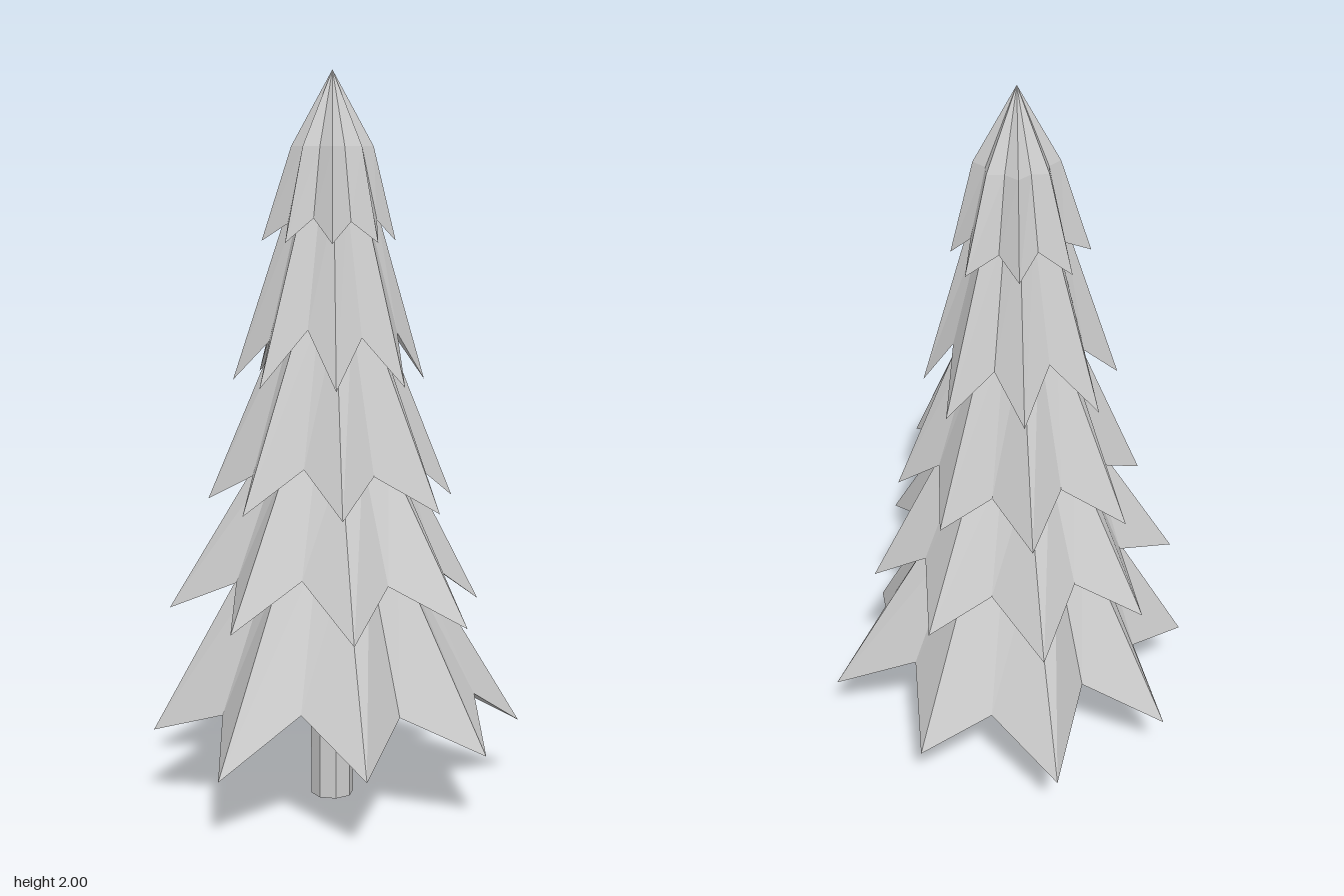
import * as THREE from 'three';

const POINTS = 8;
const AXIS_X = 0.01;

// How far each notch sits above its tier's mean, starting beside +x and turning towards +z
const NOTCH_LIFT = [0.025, 0.005, 0, 0.03, -0.025, -0.025, 0.005, -0.015];

// One ring of 16 corners: even corners are branch tips, odd ones the notches between them
function ring(turn, tipR, tipY, notchR, notchY, lift = 0) {
  const pick = (v, k) => (Array.isArray(v) ? v[k] : v);
  return Array.from({ length: POINTS * 2 }, (_, i) => {
    const k = i >> 1, tip = i % 2 === 0;
    const a = (i * Math.PI) / POINTS + turn;
    const r = pick(tip ? tipR : notchR, k);
    const y = tip ? pick(tipY, k) : notchY + lift * NOTCH_LIFT[k];
    return new THREE.Vector3(Math.cos(a) * r, y, Math.sin(a) * r);
  });
}

// Join rings from top to bottom with separate flat faces
function loft(rings) {
  const pos = [];
  const tri = (a, b, c) => {
    const area = b.clone().sub(a).cross(c.clone().sub(a)).length();
    if (area > 1e-8) for (const p of [a, b, c]) pos.push(p.x, p.y, p.z);
  };
  for (let j = 0; j + 1 < rings.length; j++) {
    const A = rings[j], B = rings[j + 1];
    for (let i = 0; i < A.length; i++) {
      const n = (i + 1) % A.length;
      tri(B[n], B[i], A[i]);
      tri(B[n], A[i], A[n]);
    }
  }
  const geo = new THREE.BufferGeometry();
  geo.setAttribute('position', new THREE.Float32BufferAttribute(pos, 3));
  geo.computeVertexNormals();
  return geo;
}

// Tiers from the bottom up; tip lists start at +x and turn towards +z.
// top: [height, ridge radius, valley radius]; recess: [height, radius] underneath
const TIERS = [
  { turn: 0, tipY: [0.185, 0.18, 0.205, 0.215, 0.18, 0.21, 0.175, 0.19], notchY: 0.31, lift: 1,
    tipR: [0.49, 0.54, 0.5, 0.52, 0.51, 0.5, 0.5, 0.54],
    notchR: [0.35, 0.4, 0.335, 0.365, 0.35, 0.345, 0.325, 0.38],
    top: [0.72, 0.215, 0.185], recess: [0.38, 0.23] },
  { turn: 0.045, tipY: 0.55, notchY: 0.66, lift: 0.7,
    tipR: [0.41, 0.41, 0.45, 0.45, 0.43, 0.45, 0.425, 0.45], notchR: 0.297,
    top: [0.98, 0.19, 0.165], recess: [0.71, 0.22] },
  { turn: 0.09, tipY: 0.85, notchY: 0.945, lift: 0.7,
    tipR: [0.33, 0.33, 0.37, 0.34, 0.36, 0.34, 0.37, 0.36], notchR: 0.24,
    top: [1.35, 0.13, 0.115], recess: [1.0, 0.18] },
  { turn: 0.13, tipY: 1.175, notchY: 1.305, lift: 0.7,
    tipR: [0.28, 0.25, 0.26, 0.26, 0.28, 0.27, 0.28, 0.26], notchR: 0.185,
    top: [1.65, 0.115, 0.095], recess: [1.35, 0.14] },
  { turn: 0.17, tipY: 1.55, notchY: 1.605, lift: 0.3,
    tipR: [0.19, 0.17, 0.17, 0.18, 0.175, 0.19, 0.19, 0.175], notchR: 0.128,
    top: [1.8, 0.11, 0.085], recess: [1.64, 0.1], apex: 2 },
];

export function createModel() {
  const model = new THREE.Group();
  model.name = 'firTree';
  const grey = new THREE.MeshStandardMaterial({ color: 0xcccccc });
  grey.name = 'plainGrey';

  // Trunk
  const trunkGeo = new THREE.CylinderGeometry(0.06, 0.06, 0.5, 8).toNonIndexed();
  trunkGeo.computeVertexNormals();
  const trunk = new THREE.Mesh(trunkGeo, grey);
  trunk.name = 'trunk';
  trunk.position.set(AXIS_X, 0.25, 0);
  model.add(trunk);

  // Jagged branch skirts, hollowed underneath
  TIERS.forEach(({ turn, tipR, tipY, notchR, notchY, lift, top, recess, apex }, i) => {
    const [topY, ridge, valley] = top;
    const [innerY, inner] = recess;
    const tier = new THREE.Mesh(loft([
      ring(turn, 0, apex ?? topY, 0, apex ?? topY),
      ring(turn, ridge, topY, valley, topY),
      ring(turn, tipR, tipY, notchR, notchY, lift),
      ring(turn, inner, innerY, inner, innerY),
      ring(turn, 0, innerY, 0, innerY),
    ]), grey);
    tier.name = `branchTier${i + 1}`;
    tier.position.x = AXIS_X;
    model.add(tier);
  });

  return model;
}
